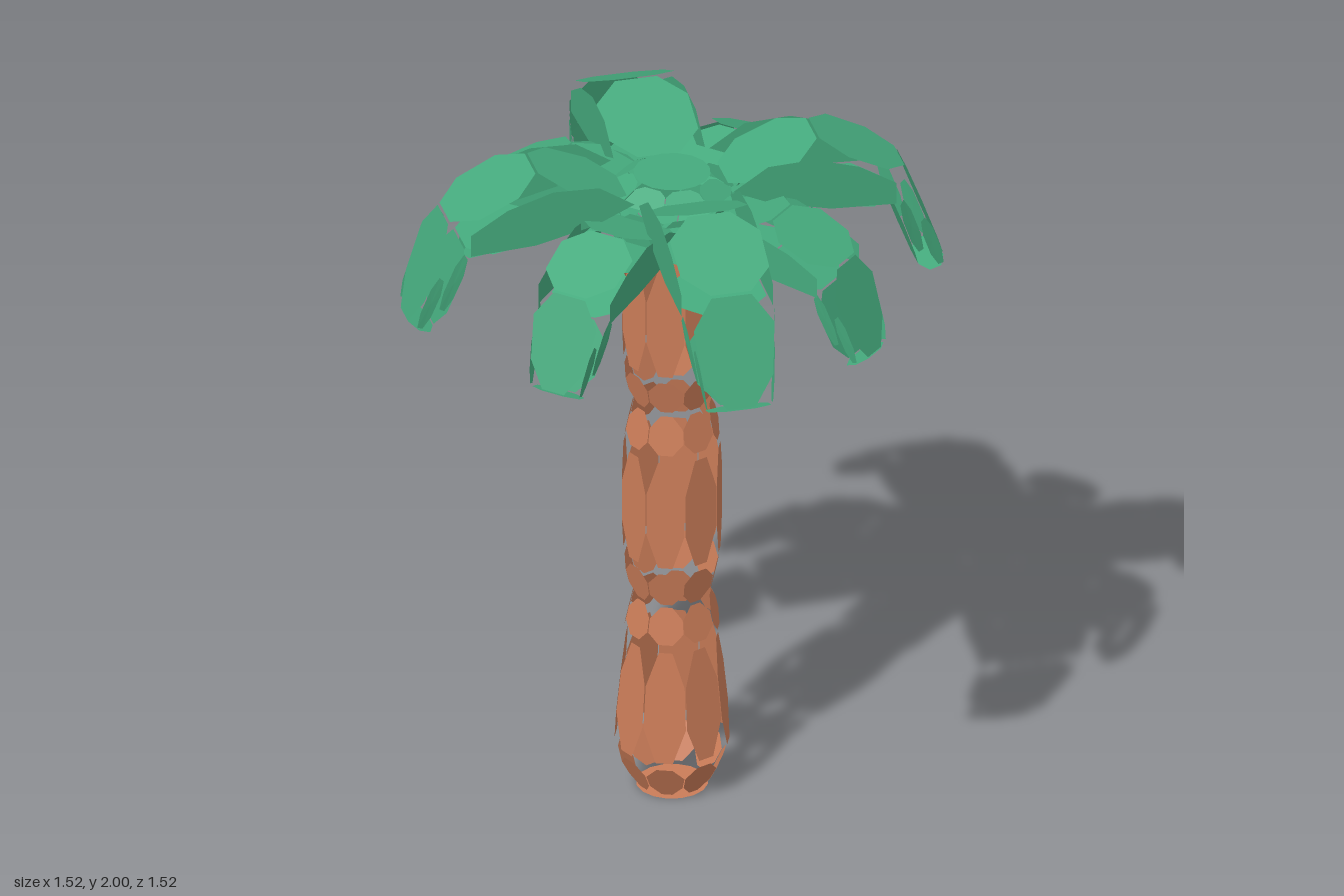
import * as THREE from 'three';

const V = (x, y, z) => new THREE.Vector3(x, y, z);
const mix = (a, b, t) => a.clone().lerp(b, t);

// Adds a polygon as a fan about its centre, turned to face the direction "out"
function addPolygon(out, pts, list, shrink = 0.96) {
  const c = V(0, 0, 0);
  pts.forEach(p => c.addScaledVector(p, 1 / pts.length));
  let ring = pts.map(p => mix(c, p, shrink));
  const normal = V(0, 0, 0);
  ring.forEach((p, i) => {
    const q = ring[(i + 1) % ring.length];
    normal.add(p.clone().sub(c).cross(q.clone().sub(c)));
  });
  if (normal.dot(out) < 0) ring = ring.reverse();
  ring.forEach((p, i) => {
    for (const v of [c, p, ring[(i + 1) % ring.length]]) list.push(v.x, v.y, v.z);
  });
}

// Quad with its corners cut off, giving an eight-sided plate
function addPlate(out, quad, list, cut = 0.27, shrink = 0.97) {
  const pts = [];
  quad.forEach((p, i) => {
    const q = quad[(i + 1) % 4];
    pts.push(mix(p, q, cut), mix(p, q, 1 - cut));
  });
  addPolygon(out, pts, list, shrink);
}

function toGeometry(list) {
  const g = new THREE.BufferGeometry();
  g.setAttribute('position', new THREE.Float32BufferAttribute(list, 3));
  g.computeVertexNormals();
  return g;
}

// Ring of eight plates between two heights and radii
function addRing(list, y0, r0, y1, r1, phase = 0, cut = 0.31) {
  for (let i = 0; i < 8; i++) {
    const a = (i + phase) * Math.PI / 4, b = a + Math.PI / 4, m = (a + b) / 2;
    const at = (ang, r, y) => V(Math.cos(ang) * r, y, Math.sin(ang) * r);
    const out = V(Math.cos(m) * (y1 - y0), r0 - r1, Math.sin(m) * (y1 - y0));
    addPlate(out, [at(a, r0, y0), at(b, r0, y0), at(b, r1, y1), at(a, r1, y1)], list, cut);
  }
}

function addDisc(list, y, r, up) {
  const pts = [];
  for (let i = 0; i < 16; i++) {
    const a = i * Math.PI / 8;
    pts.push(V(Math.cos(a) * r, y, Math.sin(a) * r));
  }
  addPolygon(V(0, up, 0), pts, list, 1);
}

// Arched frond along +x: top and bottom are [distance, height] profiles
function frondGeometry(top, bottom, wTop, wBottom, side) {
  const list = [];
  const T = (i, s) => V(top[i][0], top[i][1], s * wTop[i]);
  const B = (i, s) => V(bottom[i][0], bottom[i][1], s * wBottom[i]);
  for (let i = 0; i < 3; i++) {
    const slope = p => V(p[i][1] - p[i + 1][1], p[i + 1][0] - p[i][0], 0);
    addPlate(slope(top), [T(i, -1), T(i + 1, -1), T(i + 1, 1), T(i, 1)], list);
    addPlate(slope(bottom).negate(), [B(i, -1), B(i + 1, -1), B(i + 1, 1), B(i, 1)], list);
  }
  // end of the tip
  addPlate(V(0, -1, 0), [T(3, -1), B(3, -1), B(3, 1), T(3, 1)], list);
  for (const s of [-1, 1]) {
    // long curved flank
    addPolygon(V(0, 0, s), side.map(([x, y]) => V(x, y, s * wTop[1] * 0.97)), list, 1);
    // two staggered narrow strips beside the drooping tip
    const m0 = mix(T(2, s), B(2, s), 0.5), m1 = mix(T(3, s), B(3, s), 0.5);
    addPlate(V(0, 0, s),
      [mix(T(2, s), T(3, s), 0.4), T(3, s), m1, mix(m0, m1, 0.4)], list, 0.27, 0.9);
    addPlate(V(0, 0, s),
      [m0, mix(m0, m1, 0.75), mix(B(2, s), B(3, s), 0.75), B(2, s)], list, 0.27, 0.9);
  }
  return toGeometry(list);
}

function makeMaterial(name, color) {
  const material = new THREE.MeshStandardMaterial({
    color, flatShading: true, side: THREE.DoubleSide });
  material.name = name;
  return material;
}

export function createModel() {
  const model = new THREE.Group();
  const bark = makeMaterial('bark brown', 0xca7c58);
  const leaf = makeMaterial('leaf green', 0x45aa7d);

  const add = (name, geometry, material, turn = 0) => {
    const mesh = new THREE.Mesh(geometry, material);
    mesh.name = name;
    mesh.rotation.y = turn;
    model.add(mesh);
  };

  // Trunk: bulging segments with narrow waists, [y0, r0, y1, r1]
  const trunk = [];
  const rows = [
    [0.01, 0.105, 0.115, 0.16], [0.135, 0.17, 0.475, 0.135],
    [0.495, 0.14, 0.605, 0.115], [0.61, 0.115, 0.72, 0.14],
    [0.735, 0.143, 1.075, 0.143], [1.09, 0.14, 1.205, 0.115],
    [1.215, 0.115, 1.32, 0.14], [1.335, 0.143, 1.68, 0.14],
  ];
  rows.forEach(([y0, r0, y1, r1]) => addRing(trunk, y0, r0, y1, r1));
  addDisc(trunk, 0, 0.1, -1);
  add('trunk', toGeometry(trunk), bark);

  // Crown: flat top, sloping shoulder, wall and underside collar
  const crown = [];
  addDisc(crown, 1.915, 0.107, 1);
  addRing(crown, 1.87, 0.18, 1.91, 0.112, 0.5, 0.2);
  addRing(crown, 1.74, 0.17, 1.85, 0.175, 0.5, 0.2);
  addRing(crown, 1.695, 0.1, 1.725, 0.175, 0.5, 0.12);
  add('crown', toGeometry(crown), leaf);

  // Long upper fronds and shorter lower fronds between them
  const upper = frondGeometry(
    [[0.14, 1.89], [0.4, 1.998], [0.65, 1.875], [0.762, 1.572]],
    [[0.13, 1.83], [0.38, 1.82], [0.605, 1.79], [0.69, 1.55]],
    [0.134, 0.134, 0.128, 0.092], [0.12, 0.125, 0.135, 0.092],
    [[0.14, 1.9], [0.24, 1.965], [0.37, 1.97], [0.5, 1.93], [0.605, 1.865],
      [0.605, 1.8], [0.42, 1.81], [0.25, 1.85]]);
  const lower = frondGeometry(
    [[0.12, 1.82], [0.35, 1.885], [0.555, 1.79], [0.648, 1.525]],
    [[0.11, 1.75], [0.34, 1.77], [0.51, 1.71], [0.585, 1.505]],
    [0.118, 0.118, 0.112, 0.078], [0.108, 0.112, 0.116, 0.078],
    [[0.12, 1.81], [0.21, 1.855], [0.33, 1.865], [0.44, 1.83], [0.53, 1.78],
      [0.53, 1.72], [0.37, 1.74], [0.22, 1.77]]);
  for (let i = 0; i < 4; i++) {
    add('upperFrond', upper, leaf, i * Math.PI / 2);
    add('lowerFrond', lower, leaf, (i + 0.5) * Math.PI / 2);
  }
  return model;
}
